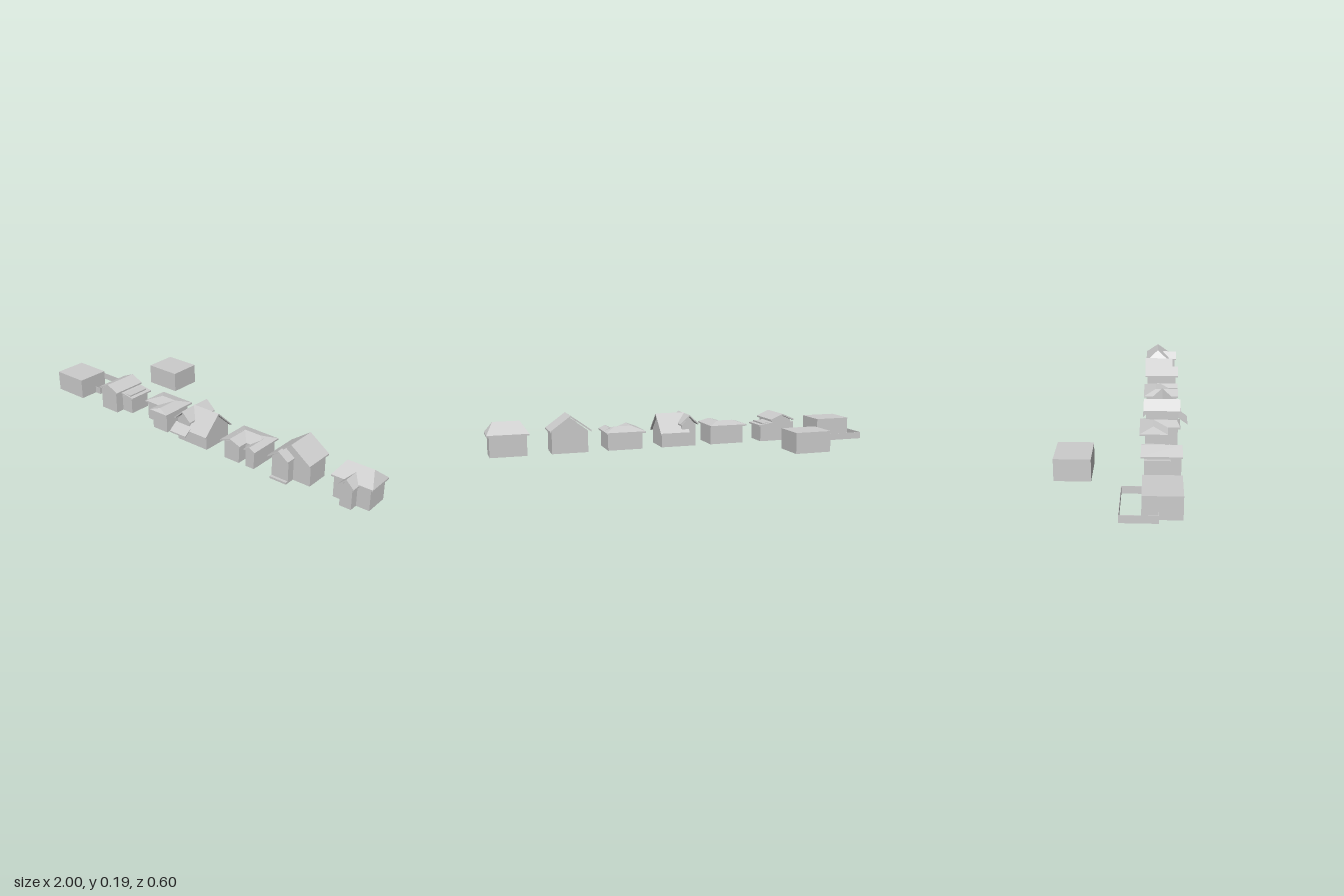
import * as THREE from 'three';
import { ConvexGeometry } from 'three/addons/geometries/ConvexGeometry.js';

const mat = new THREE.MeshStandardMaterial({ color: 0xcccccc, flatShading: true });
const T = 0.008; // roof thickness

export function createModel() {
  const model = new THREE.Group();
  let house;
  const begin = (name) => {
    house = new THREE.Group();
    house.name = name;
    model.add(house);
  };
  const add = (name, geo) => {
    const m = new THREE.Mesh(geo, mat);
    m.name = name;
    house.add(m);
  };
  // Box from its extents
  const box = (name, x0, x1, z0, z1, y1, y0 = 0) =>
    add(name, new THREE.BoxGeometry(x1 - x0, y1 - y0, z1 - z0)
      .translate((x0 + x1) / 2, (y0 + y1) / 2, (z0 + z1) / 2));
  // Profile of [across, y] points drawn out along z or x, from a to b
  const prism = (name, pts, a, b, axis = 'z') => {
    const geo = new THREE.ExtrudeGeometry(
      new THREE.Shape(pts.map(([u, v]) => new THREE.Vector2(u, v))),
      { depth: b - a, bevelEnabled: false });
    if (axis === 'z') geo.translate(0, 0, a);
    else geo.rotateY(-Math.PI / 2).translate(b, 0, 0);
    add(name, geo);
  };
  // Pitched roof: two slabs meeting at a ridge halfway between u0 and u1
  const gable = (name, u0, u1, a, b, yE, yR, axis = 'z') => {
    const m = (u0 + u1) / 2;
    prism(name, [[u0, yE - T], [m, yR - T], [u1, yE - T], [u1, yE], [m, yR], [u0, yE]], a, b, axis);
  };
  // Wall block with a pointed top
  const gableWall = (name, u0, u1, a, b, yE, yR, axis = 'z') =>
    prism(name, [[u0, 0], [u1, 0], [u1, yE], [(u0 + u1) / 2, yR], [u0, yE]], a, b, axis);
  // Hipped roof over a rectangle, ridge from [x, z] to [x, z]
  const hip = (name, x0, x1, z0, z1, yE, yR, r0, r1) => {
    const pts = [];
    for (const x of [x0, x1]) for (const z of [z0, z1]) for (const y of [yE - T, yE])
      pts.push(new THREE.Vector3(x, y, z));
    for (const [x, z] of [r0, r1]) pts.push(new THREE.Vector3(x, yR, z));
    add(name, new ConvexGeometry(pts));
  };

  // Plain block with a low yard wall
  begin('walledHouse');
  box('body', -0.97, -0.78, 0.09, 0.257, 0.105);
  const w = 0.002;
  box('yardWallBack', -1, -0.745, 0, w, 0.035);
  box('yardWallLeftSide', -1, -1 + w, 0, 0.16, 0.035);
  box('yardWallRightSide', -0.745 - w, -0.745, 0, 0.16, 0.035);
  box('yardWallLeftReturn', -1, -0.97, 0.16 - w, 0.16, 0.035);
  box('yardWallRightReturn', -0.78, -0.745, 0.16 - w, 0.16, 0.035);

  begin('rearHouse');
  box('body', -0.64, -0.45, -0.3, -0.135, 0.105);

  // Pitched house with a lean-to
  begin('leanToHouse');
  box('body', -0.632, -0.445, 0.095, 0.21, 0.1);
  gableWall('mainWing', -0.615, -0.505, 0.095, 0.257, 0.112, 0.137);
  gable('mainRoof', -0.628, -0.493, 0.08, 0.262, 0.117, 0.146);
  box('leanTo', -0.505, -0.437, 0.095, 0.212, 0.085);
  prism('leanToRoof', [[-0.505, 0.094], [-0.425, 0.082], [-0.425, 0.09], [-0.505, 0.102]], 0.08, 0.218);

  // L-shaped hipped house
  begin('cornerHouse');
  box('body', -0.332, -0.148, 0.095, 0.195, 0.1);
  box('frontWing', -0.242, -0.148, 0.19, 0.25, 0.1);
  hip('mainRoof', -0.343, -0.14, 0.068, 0.202, 0.102, 0.12, [-0.285, 0.133], [-0.197, 0.133]);
  hip('wingRoof', -0.253, -0.14, 0.12, 0.262, 0.102, 0.12, [-0.197, 0.133], [-0.197, 0.246]);

  // Crossed pitched roofs with a sloped porch roof
  begin('crossRoofHouse');
  gableWall('body', 0.095, 0.257, -0.065, 0.121, 0.078, 0.078, 'x');
  gableWall('mainGable', 0.095, 0.257, -0.015, 0.121, 0.078, 0.154, 'x');
  gableWall('frontWing', -0.065, 0.012, 0.095, 0.257, 0.11, 0.152);
  gable('mainRoof', 0.08, 0.274, -0.027, 0.13, 0.074, 0.167, 'x');
  gable('wingRoof', -0.077, 0.024, 0.083, 0.268, 0.118, 0.164);
  prism('porchRoof', [[0.255, 0.084], [0.303, 0.049], [0.303, 0.057], [0.255, 0.092]], -0.077, 0.024, 'x');

  // Hipped house with two front gables
  begin('twinGableHouse');
  box('body', 0.225, 0.405, 0.095, 0.205, 0.09);
  gableWall('leftWing', 0.23, 0.317, 0.15, 0.255, 0.088, 0.102);
  gableWall('rightWing', 0.358, 0.405, 0.15, 0.255, 0.088, 0.1);
  hip('mainRoof', 0.21, 0.415, 0.08, 0.212, 0.092, 0.115, [0.27, 0.145], [0.36, 0.145]);
  gable('leftWingRoof', 0.21, 0.327, 0.14, 0.263, 0.092, 0.114);
  gable('rightWingRoof', 0.35, 0.415, 0.15, 0.263, 0.092, 0.108);

  // Tall pitched house with a lower front gable
  begin('tallHouse');
  gableWall('body', 0.507, 0.688, 0.095, 0.215, 0.11, 0.178);
  gableWall('frontWing', 0.507, 0.597, 0.2, 0.255, 0.11, 0.143);
  gable('mainRoof', 0.492, 0.697, 0.083, 0.237, 0.114, 0.188);
  gable('wingRoof', 0.492, 0.602, 0.19, 0.268, 0.114, 0.153);
  box('step', 0.507, 0.597, 0.25, 0.27, 0.01);

  // Steeply hipped house with a narrow front gable
  begin('steepHipHouse');
  box('body', 0.808, 0.988, 0.095, 0.215, 0.106);
  gableWall('frontWing', 0.866, 0.924, 0.15, 0.257, 0.1, 0.133);
  hip('mainRoof', 0.796, 1, 0.086, 0.222, 0.11, 0.167, [0.833, 0.155], [0.965, 0.155]);
  gable('wingRoof', 0.856, 0.934, 0.16, 0.265, 0.106, 0.142);

  return model;
}
